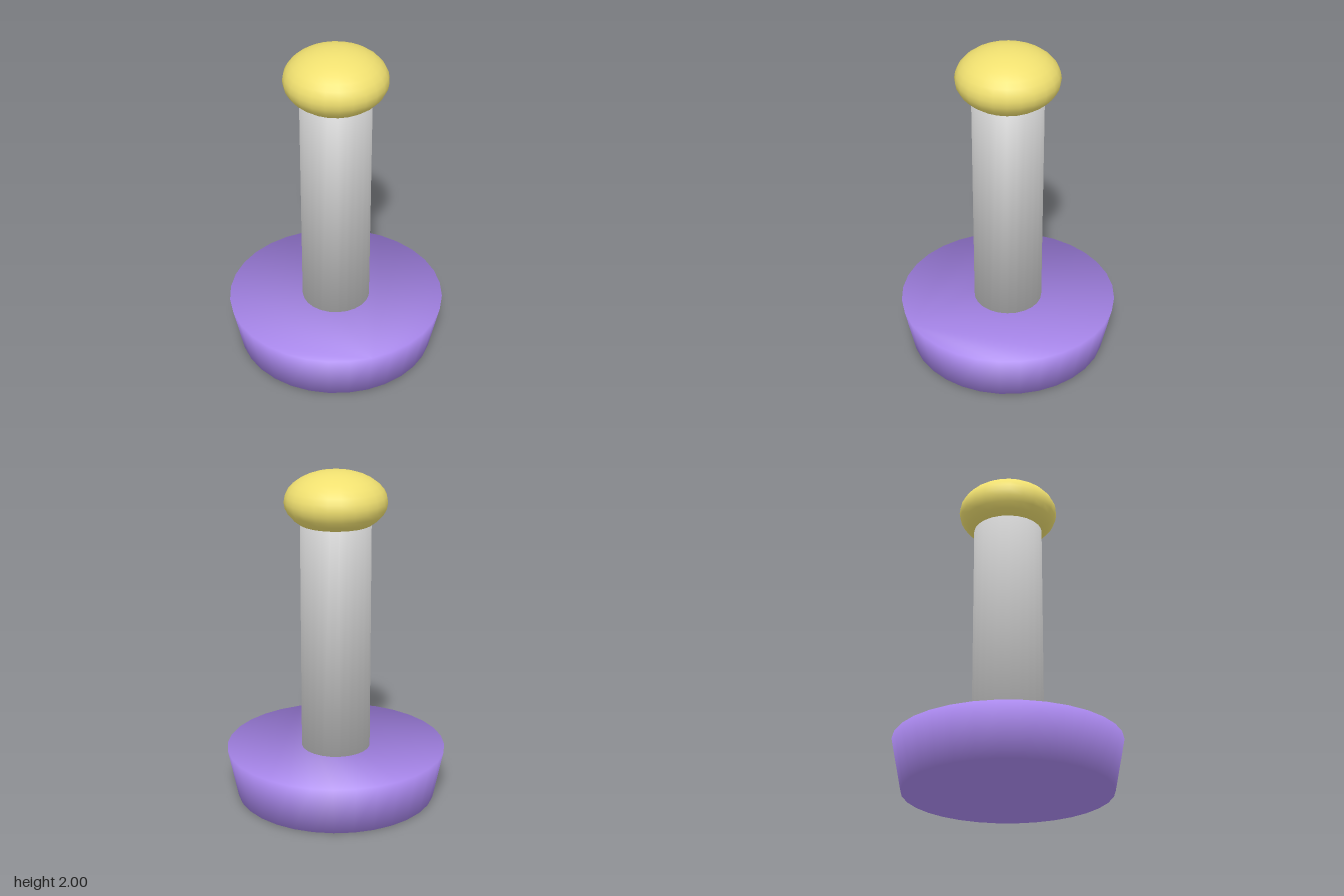
import * as THREE from 'three';

// Capped frustum whose caps share softened rim normals with the wall.
function softFrustum(rBottom, rTop, y0, y1, sides) {
  const positions = [], normals = [], index = [];
  const slope = Math.atan2(rBottom - rTop, y1 - y0);
  const wall = new THREE.Vector2(Math.cos(slope), Math.sin(slope));
  const capWeight = 1 - 2 / sides;
  for (const [r, y, up] of [[rBottom, y0, -1], [rTop, y1, 1]]) {
    const n = new THREE.Vector2(wall.x, wall.y + up * capWeight).normalize();
    for (let i = 0; i < sides; i++) {
      const a = (i / sides) * Math.PI * 2;
      positions.push(r * Math.sin(a), y, r * Math.cos(a));
      normals.push(n.x * Math.sin(a), n.y, n.x * Math.cos(a));
    }
  }
  for (let i = 0; i < sides; i++) {
    const j = (i + 1) % sides;
    index.push(i, j, sides + j, i, sides + j, sides + i);
    if (i > 0 && i < sides - 1) {
      index.push(0, j, i);                         // bottom cap
      index.push(sides, sides + i, sides + j);     // top cap
    }
  }
  const geometry = new THREE.BufferGeometry();
  geometry.setAttribute('position', new THREE.Float32BufferAttribute(positions, 3));
  geometry.setAttribute('normal', new THREE.Float32BufferAttribute(normals, 3));
  geometry.setIndex(index);
  return geometry;
}

export function createModel() {
  const group = new THREE.Group();
  const add = (name, geometry, color) => {
    const mesh = new THREE.Mesh(geometry, new THREE.MeshStandardMaterial({ color }));
    mesh.name = name;
    group.add(mesh);
  };

  // Flared round foot
  add('base', softFrustum(0.606, 0.667, 0, 0.303, 32), 0xaa88ee);

  // Upright post, running from the foot into the knob
  add('shaft', softFrustum(0.21, 0.21, 0.002, 1.818, 24), 0xcccccc);

  // Flattened ball on top
  const knob = new THREE.SphereGeometry(0.303, 24, 16);
  knob.scale(1, 0.6, 1).translate(0, 1.818, 0);
  add('knob', knob, 0xf0e070);

  return group;
}
